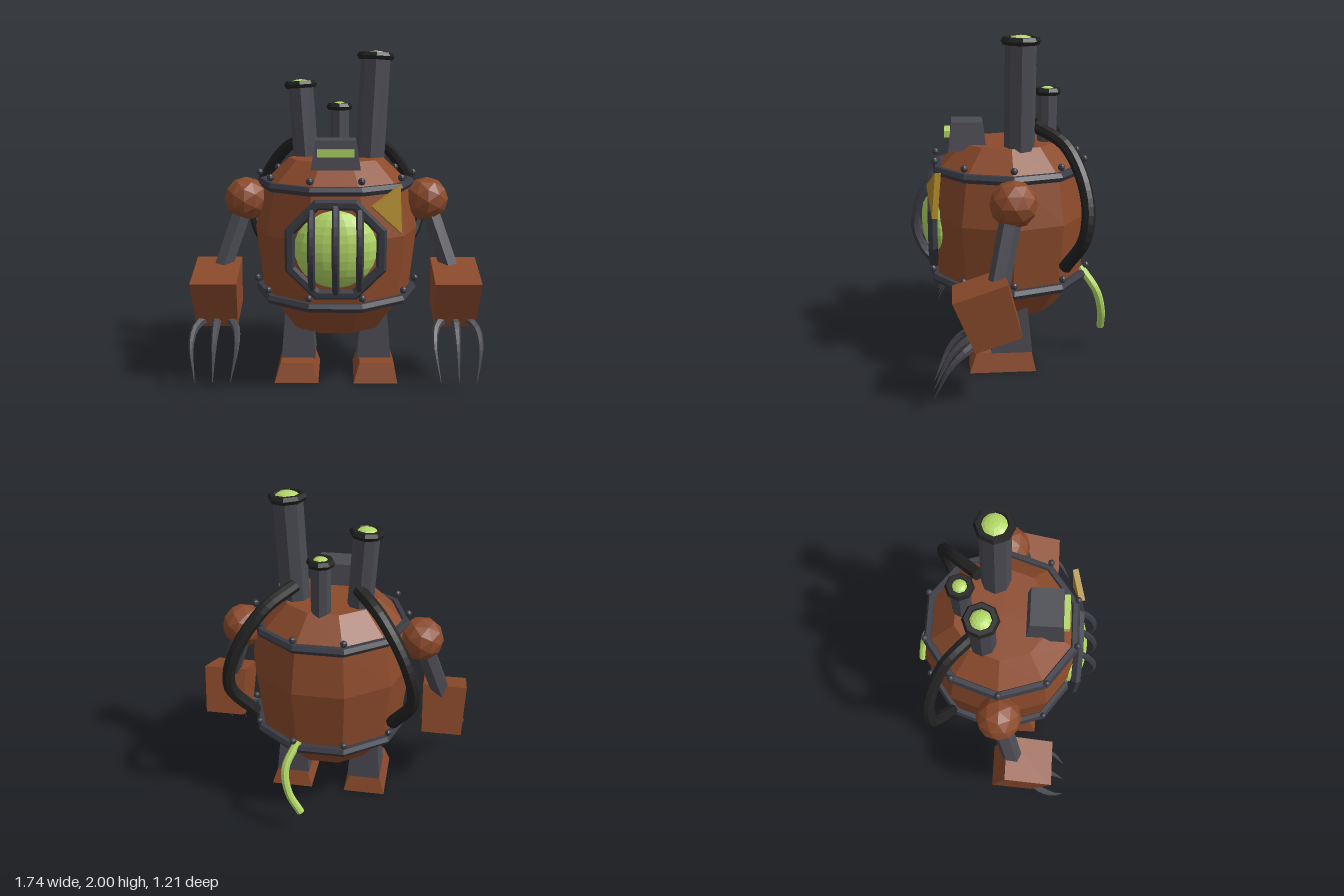
import * as THREE from 'three';

const mat = (name, color) => {
  const m = new THREE.MeshStandardMaterial({ color, flatShading: true });
  m.name = name;
  return m;
};
const V = (x, y, z) => new THREE.Vector3(x, y, z);

export function createModel() {
  const root = new THREE.Group();
  root.name = 'boilerRobot';
  const rust = mat('rust', 0x8b4a2b);
  const iron = mat('iron', 0x4a4a52);
  const darkIron = mat('darkIron', 0x3a3b44);
  const rubber = mat('blackRubber', 0x222222);
  const glow = mat('limeGlow', 0xb2d766);
  const brass = mat('brass', 0xb08a28);

  const add = (name, geo, material, parent = root) => {
    const mesh = new THREE.Mesh(geo, material);
    mesh.name = name;
    parent.add(mesh);
    return mesh;
  };
  // Box whose top and bottom have different sizes; shift moves the top in z
  const frustum = (bw, bd, tw, td, h, shift = 0) => {
    const g = new THREE.BoxGeometry(1, h, 1);
    const p = g.attributes.position;
    for (let i = 0; i < p.count; i++) {
      const top = p.getY(i) > 0;
      p.setX(i, p.getX(i) * (top ? tw : bw));
      p.setZ(i, p.getZ(i) * (top ? td : bd) + (top ? shift : 0));
    }
    return g;
  };
  // Cylinder between two points
  const rod = (name, a, b, ra, rb, sides, material) => {
    const m = add(name, new THREE.CylinderGeometry(rb, ra, a.distanceTo(b), sides), material);
    m.position.copy(a).lerp(b, 0.5);
    m.quaternion.setFromUnitVectors(V(0, 1, 0), b.clone().sub(a).normalize());
    return m;
  };
  // Capped tube along a curve, with radius falling from r0 to r1
  const taperTube = (points, r0, r1, segs, sides) => {
    const curve = new THREE.CatmullRomCurve3(points);
    const g = new THREE.TubeGeometry(curve, segs, 1, sides);
    const p = g.attributes.position;
    const v = V(0, 0, 0);
    for (let i = 0; i < p.count; i++) {
      const t = Math.floor(i / (sides + 1)) / segs;
      const c = curve.getPointAt(t);
      v.fromBufferAttribute(p, i).sub(c).multiplyScalar(r0 + (r1 - r0) * t).add(c);
      p.setXYZ(i, v.x, v.y, v.z);
    }
    const idx = Array.from(g.index.array);
    const end = segs * (sides + 1);
    for (let k = 1; k < sides - 1; k++) {
      idx.push(0, k, k + 1);
      idx.push(end, end + k + 1, end + k);
    }
    g.setIndex(idx);
    g.computeVertexNormals();
    return g;
  };

  // Ten-sided boiler body
  const profile = [[0, 0.33], [0.3, 0.33], [0.455, 0.54], [0.5, 0.93], [0.447, 1.21], [0.29, 1.36], [0, 1.36]];
  const bodyGeo = new THREE.LatheGeometry(profile.map(([r, y]) => new THREE.Vector2(r, y)), 10);
  bodyGeo.rotateY(Math.PI / 10);
  add('body', bodyGeo, rust);

  // Bands with a circle of rivets
  for (const [name, y, R, rivetY, rivetR] of [['upperBand', 1.21, 0.455, 1.27, 0.47], ['lowerBand', 0.54, 0.475, 0.6, 0.495]]) {
    const band = add(name, new THREE.TorusGeometry(R, 0.029, 6, 10), darkIron);
    band.rotation.x = Math.PI / 2;
    band.position.y = y;
    for (let i = 0; i < 10; i++) {
      const a = (i / 10) * Math.PI * 2;
      add('rivet', new THREE.SphereGeometry(0.021, 8, 6), darkIron)
        .position.set(rivetR * Math.cos(a), rivetY, rivetR * Math.sin(a));
    }
  }

  // Chimneys: base point, top point, shaft radius
  const chimneys = [
    [V(-0.187, 1.3, -0.1), V(-0.22, 1.8, -0.1), 0.077],
    [V(0.205, 1.3, -0.05), V(0.24, 1.97, -0.055), 0.09],
    [V(0.02, 1.3, -0.235), V(0.02, 1.66, -0.235), 0.059],
  ];
  for (const [a, b, r] of chimneys) {
    const shaft = rod('chimney', a, b, r, r, 8, iron);
    const rim = add('chimneyRim', new THREE.TorusGeometry(r, 0.025, 6, 8), rubber);
    rim.quaternion.copy(shaft.quaternion);
    rim.rotateX(Math.PI / 2);
    rim.position.copy(b);
    const dome = add('chimneyGlow', new THREE.SphereGeometry(r * 0.82, 12, 8), glow);
    dome.position.copy(b);
    dome.scale.y = 0.032 / (r * 0.82);
  }

  // Small head with a glowing slit
  add('head', frustum(0.285, 0.228, 0.235, 0.188, 0.17), iron).position.set(0, 1.407, 0.252);
  add('eyeSlit', new THREE.BoxGeometry(0.21, 0.04, 0.05), glow).position.set(0, 1.42, 0.363);

  // Front porthole with a caged glow
  const glass = add('portholeGlow', new THREE.SphereGeometry(0.237, 20, 14), glow);
  glass.position.set(0, 0.88, 0.42);
  glass.scale.set(1, 0.97, 0.5);
  const frame = add('portholeFrame', new THREE.TorusGeometry(0.28, 0.032, 6, 8), darkIron);
  frame.position.set(0, 0.882, 0.465);
  frame.rotation.z = Math.PI / 8;
  for (const x of [-0.135, 0, 0.135]) {
    const h = x ? 0.245 : 0.27;
    const arc = [-1, -0.6, 0, 0.6, 1].map((t) => V(x, 0.882 + t * h, 0.46 + 0.12 * (1 - t * t)));
    add('cageBar', taperTube(arc, 0.021, 0.021, 12, 6), darkIron);
  }

  // Triangular brass patch
  const tri = new THREE.Shape([[-0.11, 0.015], [0.066, -0.14], [0.056, 0.13]].map(([x, y]) => new THREE.Vector2(x, y)));
  const patch = add('brassPatch', new THREE.ExtrudeGeometry(tri, { depth: 0.035, bevelEnabled: false }), brass);
  patch.position.set(0.3, 1.115, 0.436);
  patch.rotation.set(-0.1, 0.28, 0);

  for (const s of [1, -1]) {
    const side = s > 0 ? 'left' : 'right';
    // Shoulder, arm and tilted fist
    add(side + 'Shoulder', new THREE.IcosahedronGeometry(0.136, 1), rust).position.set(s * 0.555, 1.105, 0.01);
    rod(side + 'Arm', V(s * 0.555, 1.1, 0.01), V(s * 0.7, 0.68, 0.105), 0.062, 0.062, 6, iron);
    const fist = add(side + 'Fist', frustum(0.25, 0.268, 0.275, 0.308, 0.315), rust);
    fist.position.set(s * 0.72, 0.55, 0.16);
    fist.rotation.x = 0.32;

    // Three curved claws
    for (const k of [-1, 0, 1]) {
      const pts = [[0.04, 0.41, 0.19], [0.115, 0.375, 0.28], [0.135, 0.29, 0.37], [0.105, 0.09, 0.465]]
        .map(([dx, y, z]) => V(s * 0.72 + k * dx, y, z));
      add(side + 'Claw', taperTube(pts, 0.032, 0.002, 10, 6), iron);
    }

    // Leg and foot
    add(side + 'Leg', frustum(0.212, 0.25, 0.16, 0.185, 0.315), iron).position.set(s * 0.235, 0.267, 0.002);
    add(side + 'Foot', frustum(0.268, 0.402, 0.195, 0.328, 0.115, -0.005), rust).position.set(s * 0.242, 0.0575, 0.058);

    // Back hose
    const hose = [[0.185, 1.475, -0.15], [0.34, 1.38, -0.31], [0.5, 1.13, -0.405], [0.545, 0.9, -0.395], [0.42, 0.68, -0.3]];
    add(side + 'Hose', taperTube(hose.map(([x, y, z]) => V(s * x, y, z)), 0.039, 0.039, 24, 8), rubber);
  }

  // Dripping green tail pipe
  const tail = [V(0.13, 0.58, -0.44), V(0.19, 0.44, -0.535), V(0.165, 0.29, -0.575), V(0.09, 0.16, -0.588)];
  add('tailPipe', taperTube(tail, 0.025, 0.025, 16, 8), glow);

  return root;
}
